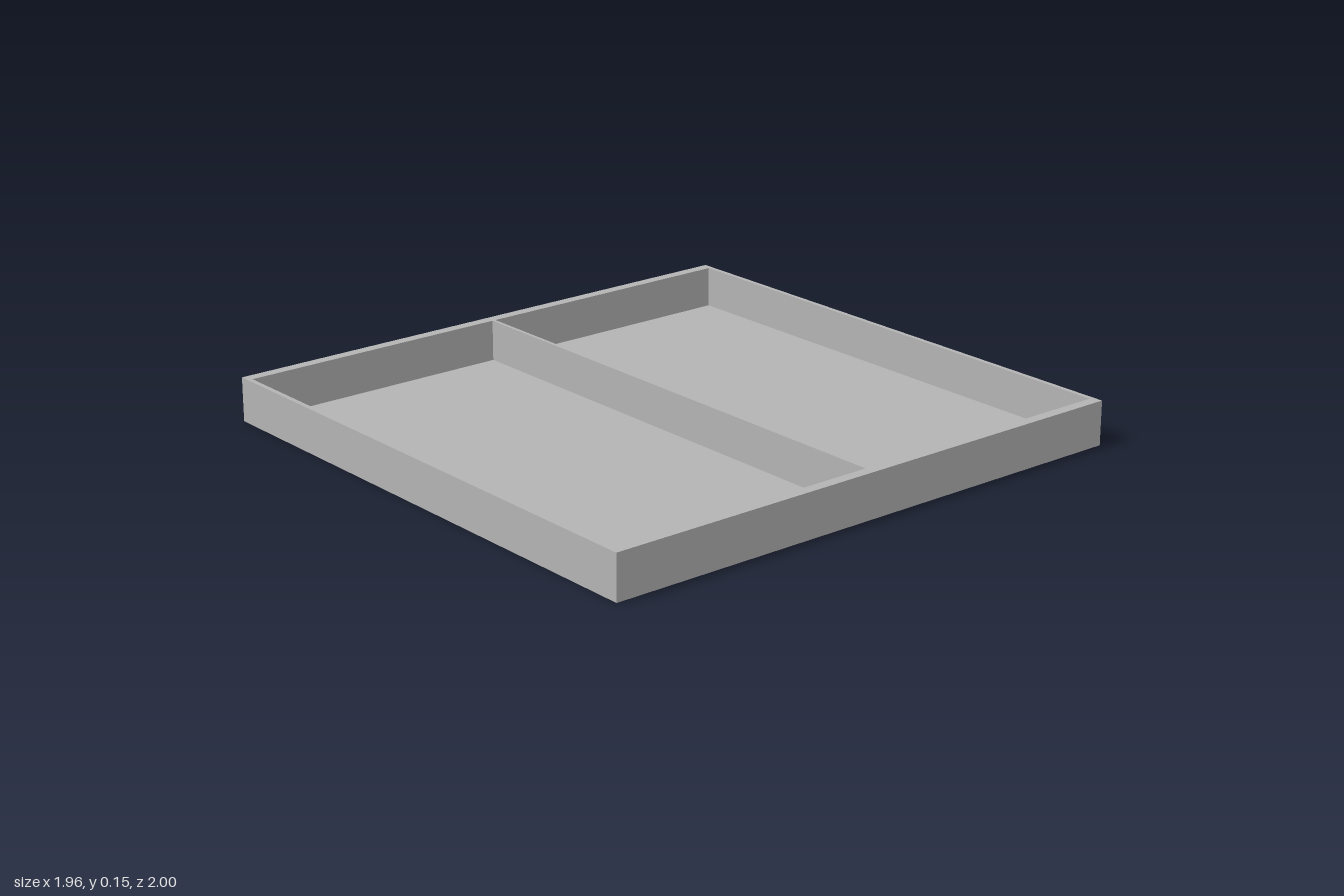
import * as THREE from 'three';

const WIDTH = 1.858, DEPTH = 1.895, HEIGHT = 0.145;
const SIDE = 0.036;     // left and right wall thickness
const END = 0.016;      // front and back wall thickness
const DIVIDER = 0.012;
const FLOOR = 0.009;

// Closed rectangular outline
function rect(path, x0, y0, x1, y1) {
  path.moveTo(x0, y0);
  path.lineTo(x1, y0);
  path.lineTo(x1, y1);
  path.lineTo(x0, y1);
  path.closePath();
  return path;
}

export function createModel() {
  const model = new THREE.Group();
  model.name = 'dividedTray';
  const grey = new THREE.MeshStandardMaterial({ color: 0xb4b4b4 });
  grey.name = 'plain grey';

  // Floor plate
  const floor = new THREE.Mesh(new THREE.BoxGeometry(WIDTH, FLOOR, DEPTH), grey);
  floor.name = 'floor';
  floor.position.y = FLOOR / 2;

  // Outer walls and centre divider, as one frame with two compartments
  const frame = rect(new THREE.Shape(), -WIDTH / 2, -DEPTH / 2, WIDTH / 2, DEPTH / 2);
  const innerX = WIDTH / 2 - SIDE;
  const innerZ = DEPTH / 2 - END;
  frame.holes.push(
    rect(new THREE.Path(), -innerX, DIVIDER / 2, innerX, innerZ),
    rect(new THREE.Path(), -innerX, -innerZ, innerX, -DIVIDER / 2)
  );
  const wallGeometry = new THREE.ExtrudeGeometry(frame, { depth: HEIGHT - FLOOR, bevelEnabled: false });
  wallGeometry.rotateX(-Math.PI / 2);
  const walls = new THREE.Mesh(wallGeometry, grey);
  walls.name = 'wallsAndDivider';
  walls.position.y = FLOOR;

  // The tray stands slightly turned
  const tray = new THREE.Group();
  tray.name = 'tray';
  tray.rotation.y = 0.0575;
  tray.add(floor, walls);
  model.add(tray);
  return model;
}
